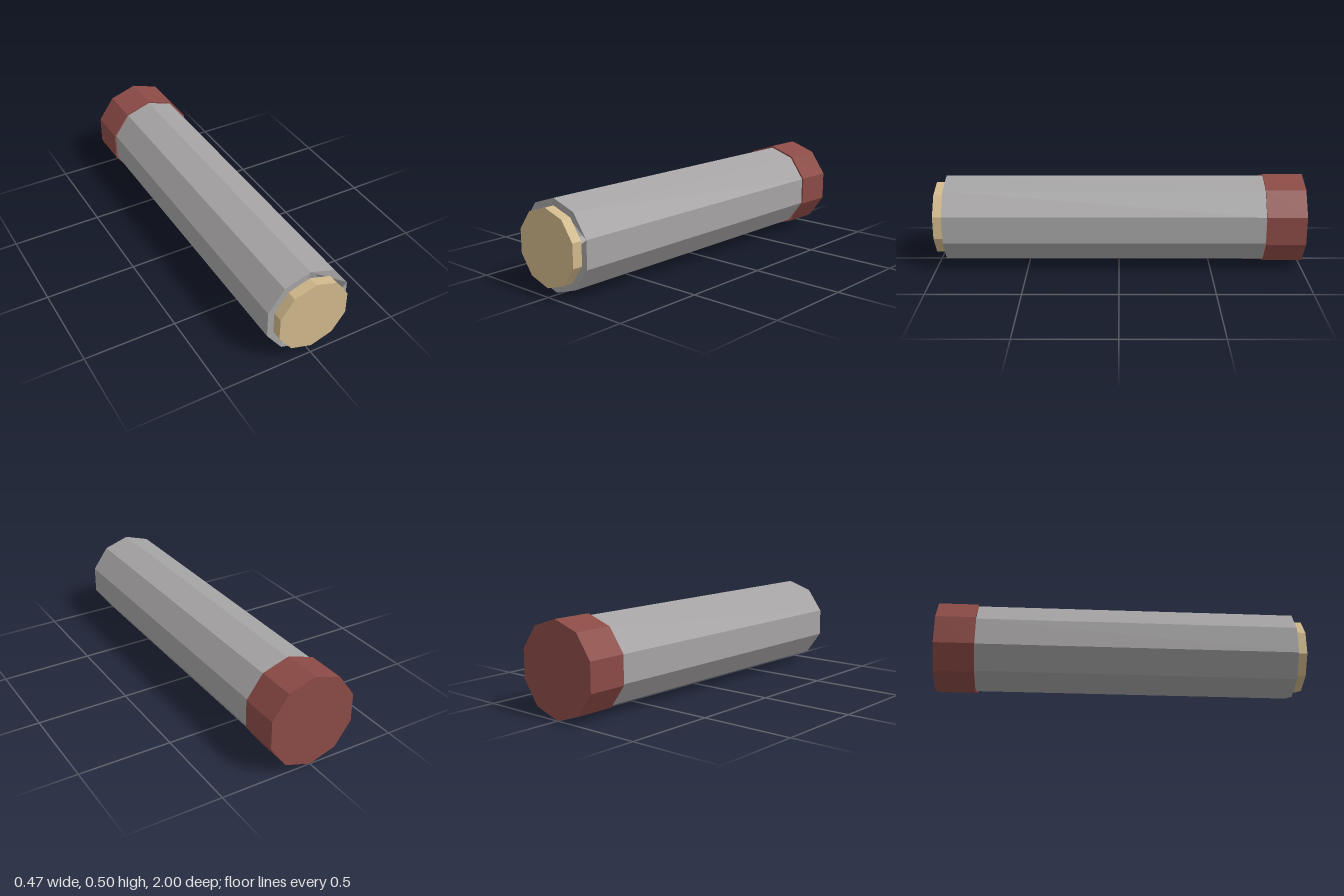
import * as THREE from 'three';

const SIDES = 10;
const CENTRE_Y = 0.248;
const ALL = [0, 1, 2, 3, 4, 5, 6, 7, 8, 9];

function material(name, color) {
  return new THREE.MeshStandardMaterial({ name, color, flatShading: true, side: THREE.DoubleSide });
}

// Ten-sided open wall running along z
function wall(name, radius, back, front, mat) {
  const geometry = new THREE.CylinderGeometry(radius, radius, front - back, SIDES, 1, true);
  geometry.rotateX(Math.PI / 2);
  geometry.translate(0, 0, (front + back) / 2);
  const mesh = new THREE.Mesh(geometry, mat);
  mesh.name = name;
  return mesh;
}

// Flat end made of polygons; corners are numbered clockwise from the top
function end(name, radius, z, polygons, mat, facesBack = false) {
  const shapes = polygons.map((corners) => new THREE.Shape(corners.map((k) => {
    const a = (k / SIDES) * Math.PI * 2;
    return new THREE.Vector2(Math.sin(a) * radius, Math.cos(a) * radius);
  })));
  const geometry = new THREE.ShapeGeometry(shapes);
  if (facesBack) geometry.rotateY(Math.PI);
  geometry.translate(0, 0, z);
  const mesh = new THREE.Mesh(geometry, mat);
  mesh.name = name;
  return mesh;
}

export function createModel() {
  const grey = material('grey metal', 0xa5a3a4);
  const red = material('dull red', 0x8b4a45);
  const tan = material('tan', 0xcfb78a);

  const model = new THREE.Group();
  model.name = 'cappedTube';

  // Rear cap, its front rim open at two corners
  const cap = new THREE.Group();
  cap.name = 'rearCap';
  cap.add(
    wall('capWall', 0.248, -1, -0.785, red),
    end('capBack', 0.248, -1, [ALL], red, true),
    end('capFront', 0.248, -0.785, [[0, 1, 2, 4, 5, 6, 7, 8]], red),
  );

  // Long body, its front end open over one triangle
  const body = new THREE.Group();
  body.name = 'body';
  body.add(
    wall('bodyWall', 0.238, -0.785, 0.945, grey),
    end('bodyFront', 0.238, 0.945, [[0, 1, 2], [2, 3, 4, 5, 6], [6, 7, 8, 9, 0]], grey),
  );

  // Short front plug
  const plug = new THREE.Group();
  plug.name = 'frontPlug';
  plug.add(
    wall('plugWall', 0.201, 0.945, 1, tan),
    end('plugFront', 0.201, 1, [ALL], tan),
  );

  model.add(cap, body, plug);
  for (const part of model.children) part.position.y = CENTRE_Y;
  return model;
}
